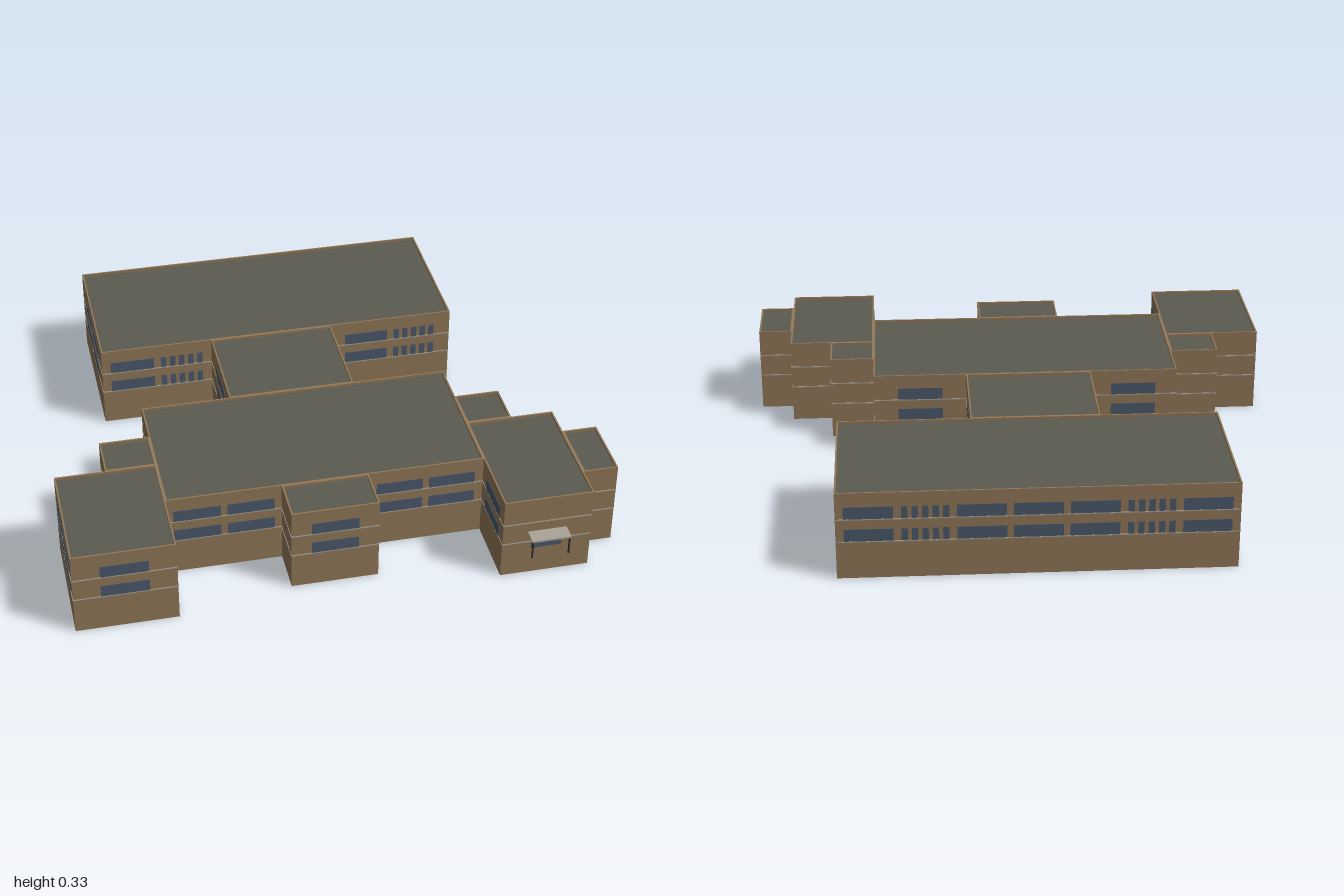
import * as THREE from 'three';

const mat = (name, color, side = THREE.FrontSide) => {
  const m = new THREE.MeshStandardMaterial({ color, side });
  m.name = name;
  return m;
};

export function createModel() {
  const wall = mat('tan brick', 0x93795a, THREE.DoubleSide);
  const roof = mat('grey roof', 0x5c5b51, THREE.DoubleSide);
  const glass = mat('blue grey glass', 0x4c5a6c);
  const stone = mat('pale stone', 0xaaa596);
  const metal = mat('dark metal', 0x25282b);

  const H = 0.33, ROOF_Y = 0.32, RIM = 0.006;
  const SILLS = [0.142, 0.228];
  const PITCH = 0.196, WIN_W = 0.172, WIN_H = 0.046;

  const model = new THREE.Group();
  model.name = 'building';

  function box(parent, name, material, w, h, d, x, y, z) {
    const m = new THREE.Mesh(new THREE.BoxGeometry(w, h, d), material);
    m.name = name;
    m.position.set(x, y, z);
    parent.add(m);
    return m;
  }

  // Footprints of the wings: x0, x1, z0, z1
  const blocks = [
    ['rearHall', -0.73, 0.675, -0.935, -0.355],
    ['link', -0.295, 0.185, -0.355, 0.04],
    ['mainHall', -0.63, 0.54, 0.04, 0.605],
    ['frontBay', -0.21, 0.11, 0.605, 0.775],
    ['rightWing', -1, -0.63, 0.39, 0.85],
    ['rightCorner', -0.815, -0.63, 0.22, 0.39],
    ['leftWing', 0.54, 0.87, 0.38, 0.875],
    ['leftCorner', 0.54, 0.71, 0.21, 0.38],
    ['leftAnnex', 0.87, 1, 0.505, 0.755],
  ].map(([name, x0, x1, z0, z1]) => ({ name, x: [x0, x1], z: [z0, z1] }));

  // Parts of a side that no neighbouring wing covers
  function exposed(block, axis, end) {
    const along = axis === 'x' ? 'z' : 'x';
    let parts = [block[along]];
    for (const o of blocks) {
      if (o === block || Math.abs(o[axis][1 - end] - block[axis][end]) > 1e-4) continue;
      const [c, d] = o[along];
      parts = parts.flatMap(([a, b]) =>
        d <= a || c >= b ? [[a, b]] : [[a, c], [d, b]].filter(([p, q]) => q - p > 0.005));
    }
    return parts;
  }

  // Sill courses and rows of windows on one stretch of wall
  function facade(group, block, axis, end, a, b) {
    const face = block[axis][end], out = end ? 1 : -1, len = b - a, mid = (a + b) / 2;
    const plate = (name, material, u, y, w, h, t) => axis === 'z'
      ? box(group, name, material, w, h, t, u, y, face)
      : box(group, name, material, t, h, w, face, y, u);
    const entrance = block.name === 'leftWing' && axis === 'z' && out > 0;
    const count = entrance ? 0 : Math.floor((len - 0.02) / 0.194);
    for (const sill of SILLS) {
      plate('sillCourse', stone, mid, sill, len, 0.004, 0.004);
      for (let i = 0; i < count; i++) {
        const u = mid + (i - (count - 1) / 2) * PITCH;
        const y = sill + 0.002 + WIN_H / 2;
        // The rear hall has some bays split into narrow lights
        if (block.name === 'rearHall' && axis === 'z' && i % 4 === 1) {
          for (let k = 0; k < 5; k++) {
            plate('narrowWindow', glass, u + (k - 2) * 0.036, y, 0.022, WIN_H, 0.003);
          }
        } else {
          plate('window', glass, u, y, WIN_W, WIN_H, 0.003);
        }
      }
    }
  }

  for (const block of blocks) {
    const g = new THREE.Group();
    g.name = block.name;
    model.add(g);
    const [x0, x1] = block.x, [z0, z1] = block.z;
    const w = x1 - x0, d = z1 - z0, cx = (x0 + x1) / 2, cz = (z0 + z1) / 2;

    // Walls with a parapet, open underneath
    const ring = new THREE.Shape([[x0, -z1], [x1, -z1], [x1, -z0], [x0, -z0]]
      .map(([x, y]) => new THREE.Vector2(x, y)));
    const r = RIM;
    ring.holes.push(new THREE.Path([[x0 + r, -z1 + r], [x0 + r, -z0 - r], [x1 - r, -z0 - r], [x1 - r, -z1 + r]]
      .map(([x, y]) => new THREE.Vector2(x, y))));
    const shell = new THREE.ExtrudeGeometry(ring, { depth: H, bevelEnabled: false });
    shell.rotateX(-Math.PI / 2);
    const walls = new THREE.Mesh(shell, wall);
    walls.name = 'walls';
    g.add(walls);

    // Flat roof just below the parapet
    const slab = new THREE.Mesh(new THREE.PlaneGeometry(w - r, d - r).rotateX(-Math.PI / 2), roof);
    slab.name = 'roof';
    slab.position.set(cx, ROOF_Y, cz);
    g.add(slab);

    for (const axis of ['x', 'z']) {
      for (const end of [0, 1]) {
        for (const [a, b] of exposed(block, axis, end)) facade(g, block, axis, end, a, b);
      }
    }
  }

  // Entrance with a canopy on thin posts
  const entrance = new THREE.Group();
  entrance.name = 'entrance';
  model.add(entrance);
  const ex = 0.705;
  box(entrance, 'entranceGlass', glass, 0.114, 0.064, 0.005, ex, 0.144, 0.875);
  box(entrance, 'canopy', stone, 0.145, 0.007, 0.058, ex, 0.185, 0.904);
  for (const s of [-1, 1]) {
    box(entrance, 'canopyPost', metal, 0.005, 0.073, 0.005, ex + s * 0.068, 0.146, 0.928);
  }
  return model;
}
